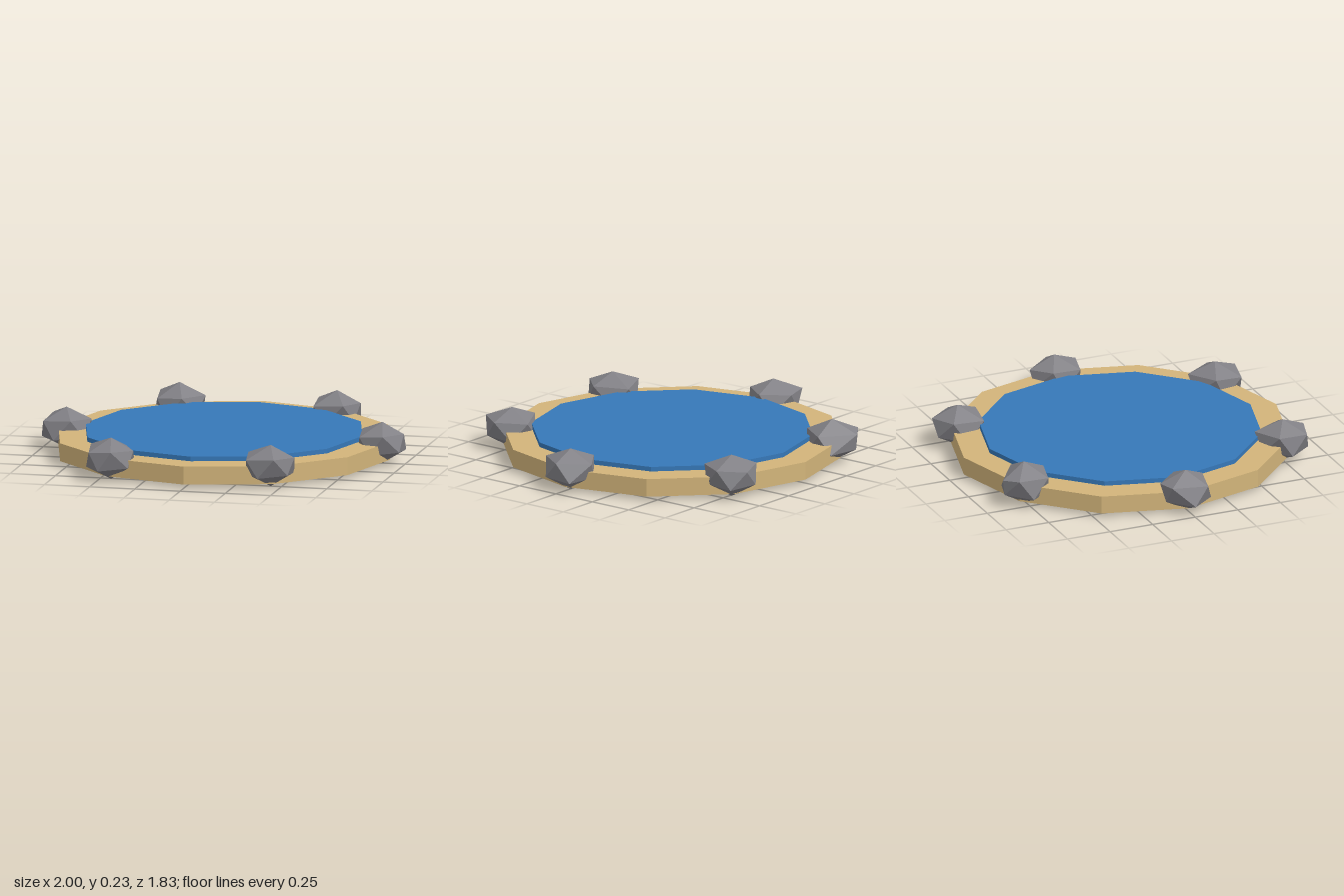
import * as THREE from 'three';

const mat = (name, color) => {
  const m = new THREE.MeshStandardMaterial({ color, flatShading: true });
  m.name = name;
  return m;
};

// Boulder: a squashed icosahedron with an uneven shoulder ring of five corners
function boulderGeometry(apexY, shoulder) {
  const points = [[0, apexY, 0]];
  for (let i = 0; i < 5; i++) points.push([shoulder[i * 2], 0.165 + 0.008 * Math.sin(i * 2.5), shoulder[i * 2 + 1]]);
  for (let i = 0; i < 5; i++) {
    const a = (36 + 72 * i) * Math.PI / 180;
    points.push([0.138 * Math.cos(a), 0.067 + 0.01 * Math.cos(i * 2), 0.138 * Math.sin(a)]);
  }
  points.push([0, 0, 0]);
  const corners = [];
  const face = (...ids) => ids.forEach((id) => corners.push(...points[id]));
  for (let i = 0; i < 5; i++) {
    const j = (i + 1) % 5;
    const u = 1 + i, v = 1 + j, l = 6 + i, m = 6 + j;
    face(0, v, u);
    face(u, v, l);
    face(v, m, l);
    face(l, m, 11);
  }
  const g = new THREE.BufferGeometry();
  g.setAttribute('position', new THREE.Float32BufferAttribute(corners, 3));
  g.computeVertexNormals();
  return g;
}

export function createModel() {
  const group = new THREE.Group();
  group.name = 'pond';
  const sand = mat('sand', 0xd2b47a);
  const water = mat('water', 0x3678b8);
  const stone = mat('stone', 0x828186);

  // Twelve-sided slabs for the bank and the raised water
  const slab = (name, radius, bottom, top, material) => {
    const mesh = new THREE.Mesh(new THREE.CylinderGeometry(radius, radius, top - bottom, 12), material);
    mesh.name = name;
    mesh.position.y = (top + bottom) / 2;
    group.add(mesh);
  };
  slab('bank', 0.917, 0.02, 0.118, sand);
  slab('waterSurface', 0.765, 0.1, 0.143, water);

  // Six boulders: x, z, apex height, then x/z offsets of the shoulder corners
  const boulders = [
    ['leftBoulder', 0.875, 0, 0.226, [0.12, 0.005, 0.035, 0.14, -0.1, 0.11, -0.125, -0.06, 0, -0.145]],
    ['rightBoulder', -0.87, 0, 0.226, [0.135, -0.01, 0.05, 0.12, -0.11, 0.085, -0.1, -0.12, 0.02, -0.14]],
    ['frontRightBoulder', -0.44, 0.76, 0.226, [0.13, 0.03, 0.03, 0.135, -0.1, 0.1, -0.13, -0.075, 0.045, -0.145]],
    ['frontLeftBoulder', 0.44, 0.75, 0.226, [0.135, 0.015, 0.05, 0.14, -0.11, 0.11, -0.135, -0.05, 0.04, -0.14]],
    ['backRightBoulder', -0.43, -0.755, 0.234, [0.14, -0.015, 0.045, 0.135, -0.1, 0.1, -0.125, -0.08, -0.04, -0.14]],
    ['backLeftBoulder', 0.44, -0.76, 0.23, [0.13, 0, 0.065, 0.135, -0.105, 0.11, -0.12, -0.075, 0.035, -0.135]],
  ];
  for (const [name, x, z, apexY, shoulder] of boulders) {
    const mesh = new THREE.Mesh(boulderGeometry(apexY, shoulder), stone);
    mesh.name = name;
    mesh.position.set(x, 0, z);
    group.add(mesh);
  }
  return group;
}
